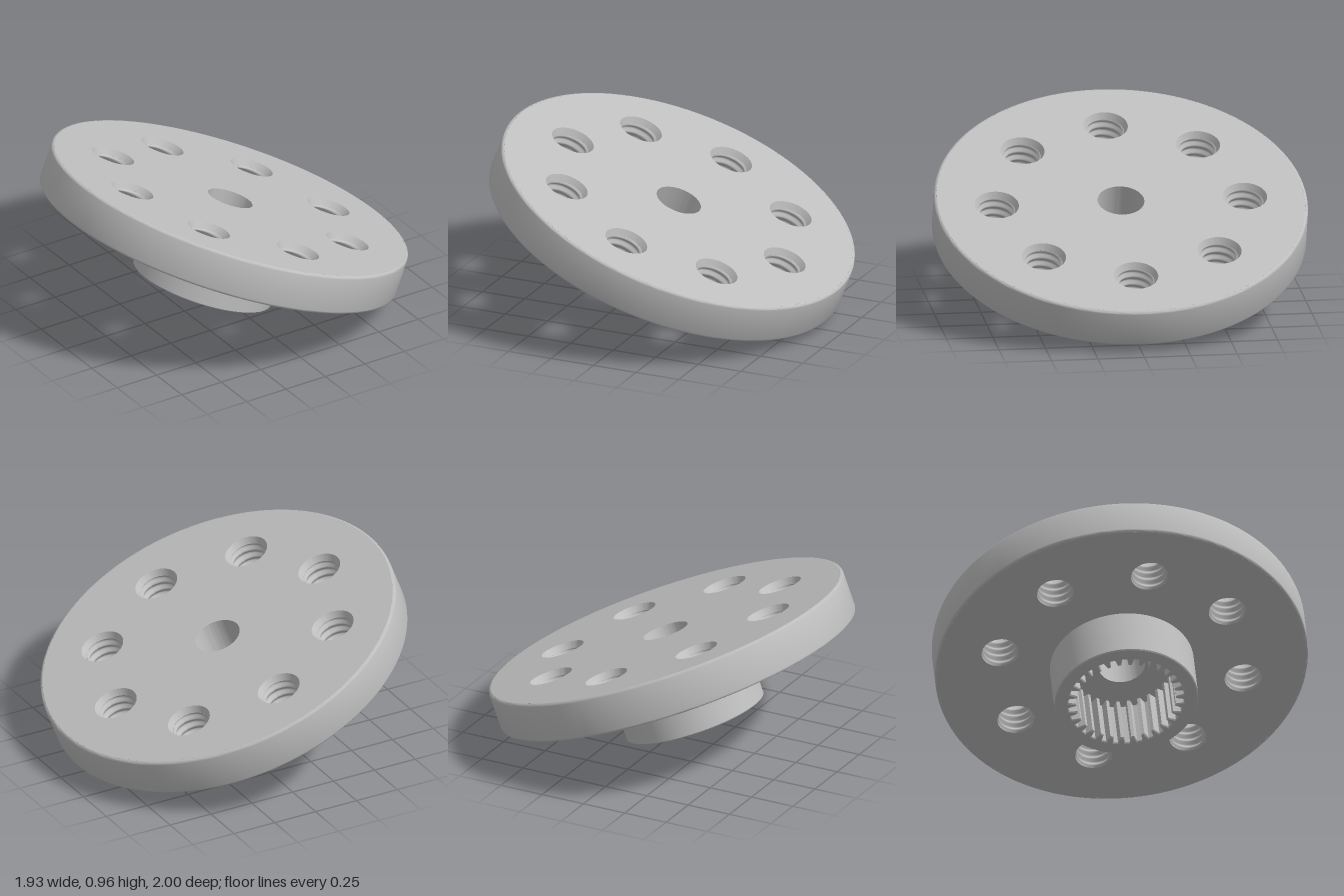
import * as THREE from 'three';
import { toCreasedNormals } from 'three/addons/utils/BufferGeometryUtils.js';

const TILT = THREE.MathUtils.degToRad(21.3);
const HALF = 0.11;        // half the disc thickness
const BEVEL = 0.015;
const HOLE_CIRCLE = 0.668;
const BORE = 0.125;
const HOLE_TOP = 0.118, HOLE_BOTTOM = 0.1, CHAMFER_DEPTH = 0.035;

const circle = (r, x = 0, y = 0, Type = THREE.Path) => new Type().absarc(x, y, r, 0, Math.PI * 2, false);

const holeCentres = Array.from({ length: 8 }, (_, i) => {
  const a = (i * Math.PI) / 4;
  return [Math.cos(a) * HOLE_CIRCLE, Math.sin(a) * HOLE_CIRCLE];
});

function lathe(points, segments) {
  const profile = points.map(([r, y]) => new THREE.Vector2(r, y));
  return toCreasedNormals(new THREE.LatheGeometry(profile, segments), 0.6);
}

// Flat disc face pierced by the bore and the ring of holes; up is 1 or -1
function discFace(holeRadius, up) {
  const shape = circle(1 - BEVEL, 0, 0, THREE.Shape);
  shape.holes.push(circle(BORE), ...holeCentres.map(([x, y]) => circle(holeRadius, x, y)));
  return new THREE.ShapeGeometry(shape, 48).rotateX((-up * Math.PI) / 2).translate(0, up * HALF, 0);
}

// Rim with rounded upper and lower edges
function rimGeometry() {
  const points = [];
  for (const side of [-1, 1]) {
    for (let i = 0; i <= 3; i++) {
      const a = ((side < 0 ? i - 3 : i) * Math.PI) / 6;
      points.push([1 - BEVEL + Math.cos(a) * BEVEL, side * (HALF - BEVEL) + Math.sin(a) * BEVEL]);
    }
  }
  return lathe(points, 128);
}

// Inward-facing tube whose radius follows a helical thread
function threadGeometry() {
  const height = 2 * HALF - CHAMFER_DEPTH;
  const pitch = 0.05;
  const g = new THREE.CylinderGeometry(1, 1, height, 32, 28, true);
  const p = g.attributes.position;
  for (let i = 0; i < p.count; i++) {
    const x = p.getX(i), y = p.getY(i), z = p.getZ(i);
    const turn = y / pitch + Math.atan2(z, x) / (Math.PI * 2);
    const wave = Math.abs((turn - Math.floor(turn)) * 2 - 1);
    const atEnd = Math.abs(y) > height / 2 - 0.001;
    const r = atEnd ? HOLE_BOTTOM : 0.088 + 0.017 * wave;
    p.setXYZ(i, x * r, y, z * r);
  }
  const index = g.index;
  for (let i = 0; i < index.count; i += 3) {
    const b = index.getX(i + 1);
    index.setX(i + 1, index.getX(i + 2));
    index.setX(i + 2, b);
  }
  g.computeVertexNormals();
  return g.translate(0, -HALF + height / 2, 0);
}

// Round hub with a toothed socket
function hubGeometry() {
  const shape = circle(0.386, 0, 0, THREE.Shape);
  const teeth = 30, root = 0.31, tip = 0.268;
  const spline = [];
  for (let i = 0; i < teeth; i++) {
    for (const [t, r] of [[0, root], [0.4, root], [0.55, tip], [0.85, tip]]) {
      const a = ((i + t) / teeth) * Math.PI * 2;
      spline.push(new THREE.Vector2(Math.cos(a) * r, Math.sin(a) * r));
    }
  }
  shape.holes.push(new THREE.Path(spline));
  const bevel = 0.006;
  const g = new THREE.ExtrudeGeometry(shape, {
    depth: 0.289 - 2 * bevel, curveSegments: 48,
    bevelThickness: bevel, bevelSize: bevel, bevelOffset: -bevel, bevelSegments: 1,
  });
  g.translate(0, 0, bevel).rotateX(Math.PI / 2).translate(0, -0.1, 0);
  return toCreasedNormals(g, 0.4);
}

export function createModel() {
  const steel = new THREE.MeshStandardMaterial({ color: 0xbebebe });
  steel.name = 'grey steel';

  const model = new THREE.Group();
  model.name = 'flangedHub';
  const flange = new THREE.Group();
  flange.name = 'flange';
  model.add(flange);

  const add = (name, geometry, parent = flange) => {
    const mesh = new THREE.Mesh(geometry, steel);
    mesh.name = name;
    parent.add(mesh);
    return mesh;
  };

  add('discTop', discFace(HOLE_TOP, 1));
  add('discBottom', discFace(HOLE_BOTTOM, -1));
  add('discRim', rimGeometry());
  add('centreBore', lathe([[BORE, HALF], [BORE, -HALF]], 96));
  add('splinedHub', hubGeometry());

  // Threaded holes, countersunk on top
  const thread = threadGeometry();
  const countersink = lathe([[HOLE_TOP, HALF], [HOLE_BOTTOM, HALF - CHAMFER_DEPTH]], 96);
  holeCentres.forEach(([x, z]) => {
    const hole = new THREE.Group();
    hole.name = 'threadedHole';
    hole.position.set(x, 0, z);
    add('thread', thread, hole);
    add('countersink', countersink, hole);
    flange.add(hole);
  });

  // The whole part leans toward +x and rests on the hub's lower edge
  flange.rotation.z = -TILT;
  flange.position.y = 0.503;
  return model;
}
